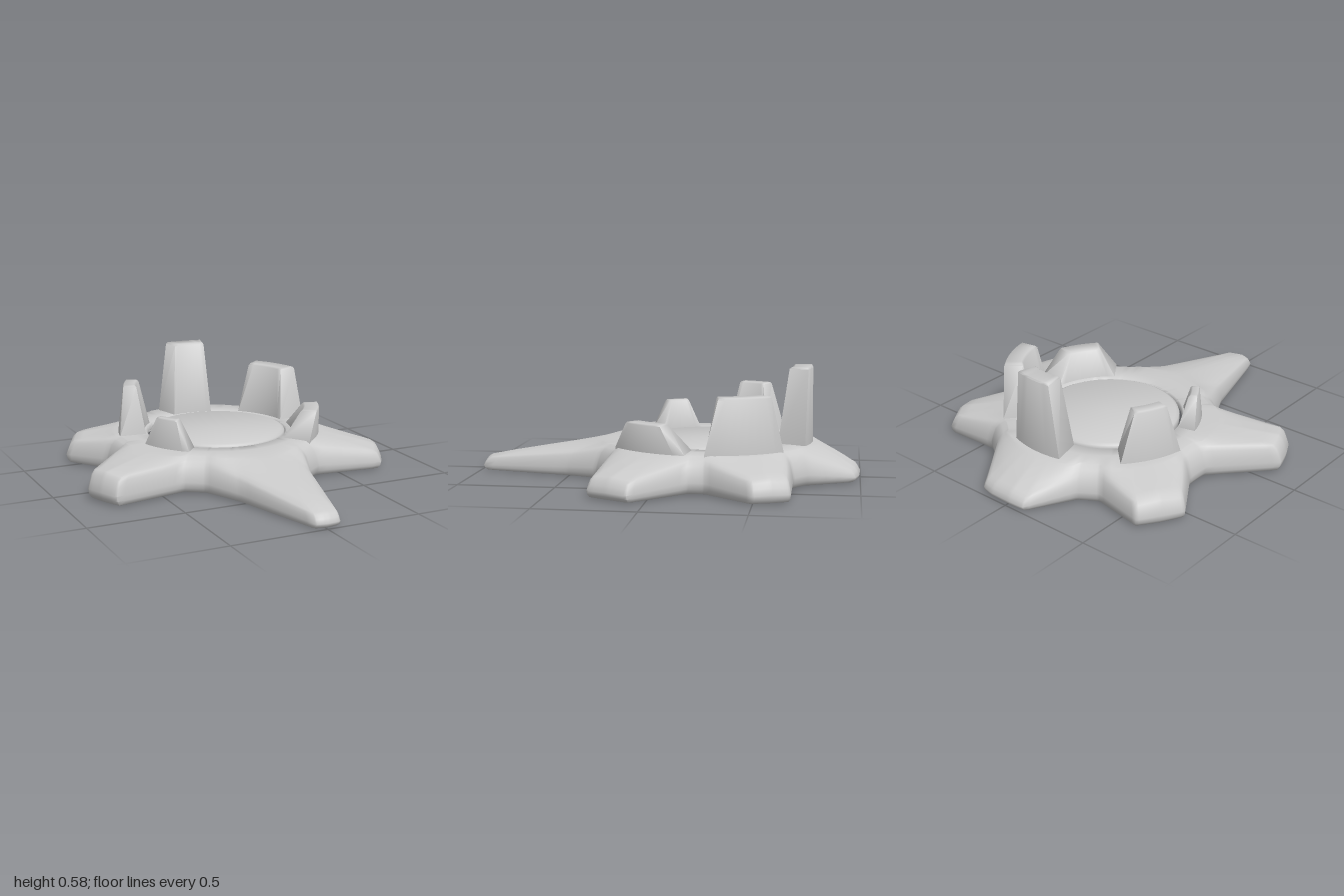
import * as THREE from 'three';
import { toCreasedNormals } from 'three/addons/utils/BufferGeometryUtils.js';

const CZ = -0.22; // z of the disc centre
const RIM = 0.19; // height of the base around the disc
const RING = 0.372; // radius of the opening

const grey = new THREE.MeshStandardMaterial({ color: 0xcccccc });
const greyThin = new THREE.MeshStandardMaterial({ color: 0xcccccc, side: THREE.DoubleSide });

// Skins a stack of equal closed loops, lowest first; optional end caps
function loft(loops, crease, caps) {
  const n = loops[0].length;
  const pos = loops.flat().flatMap((p) => [p.x, p.y, p.z]);
  const index = [];
  for (let k = 0; k < loops.length - 1; k++) {
    for (let i = 0; i < n; i++) {
      const a = k * n + i;
      const b = k * n + ((i + 1) % n);
      index.push(b, a, a + n, b, a + n, b + n);
    }
  }
  if (caps) {
    // each loop runs out along one arc and back along the other, so cap in strips
    const top = (loops.length - 1) * n;
    for (let i = 0; i < n / 2 - 1; i++) {
      const [a, b, c, d] = [i, i + 1, n - 2 - i, n - 1 - i];
      index.push(top + a, top + c, top + b, top + a, top + d, top + c);
      index.push(a, b, c, a, c, d);
    }
  }
  const geo = new THREE.BufferGeometry();
  geo.setAttribute('position', new THREE.Float32BufferAttribute(pos, 3));
  geo.setIndex(index);
  return toCreasedNormals(geo, crease);
}

// Six-armed hollow base: outline corners as x, shoulder height, z
function makeBase() {
  const outline = [
    [-0.055, 0.075, 0.98], [0, 0.08, 1], [0.075, 0.075, 0.985],
    [0.195, 0.13, 0.52], [0.27, 0.165, 0.34], [0.37, 0.165, 0.27],
    [0.735, 0.105, 0.29], [0.8, 0.115, 0.185], [0.845, 0.105, 0.08],
    [0.62, 0.165, -0.17], [0.62, 0.165, -0.26],
    [0.795, 0.115, -0.5], [0.77, 0.125, -0.59], [0.72, 0.115, -0.675],
    [0.42, 0.165, -0.675], [0.32, 0.165, -0.75],
    [0.17, 0.08, -0.975], [0.1, 0.085, -0.995], [-0.02, 0.09, -1], [-0.11, 0.08, -0.99],
    [-0.25, 0.16, -0.77], [-0.35, 0.165, -0.71],
    [-0.615, 0.13, -0.755], [-0.69, 0.145, -0.66], [-0.745, 0.13, -0.55],
    [-0.6, 0.17, -0.32], [-0.6, 0.17, -0.18],
    [-0.85, 0.15, 0.1], [-0.82, 0.16, 0.2], [-0.77, 0.15, 0.29],
    [-0.4, 0.165, 0.235], [-0.3, 0.165, 0.3], [-0.2, 0.13, 0.5],
  ].map((p) => new THREE.Vector3(...p)).reverse();
  const curve = new THREE.CatmullRomCurve3(outline, true, 'catmullrom', 0.06);
  const edge = curve.getPoints(outline.length * 5);
  edge.pop();

  // Point at radius r in the direction of edge point p
  const radius = (p) => Math.hypot(p.x, p.z - CZ);
  const polar = (p, r, y) => {
    const s = r / radius(p);
    return new THREE.Vector3(p.x * s, y, CZ + (p.z - CZ) * s);
  };

  // Outer wall: inset and share of the shoulder height, with the foot rolled under
  const wall = [[0.035, 0.05], [0.018, 0.08], [0.004, 0.22], [0, 0.4], [0.012, 0.65], [0.025, 0.87], [0.045, 1]];
  const loops = wall.map(([inset, s]) => edge.map((p) => polar(p, radius(p) - inset, p.y * s)));
  // Straight slope of the arms up to the level collar
  for (const t of [0.2, 0.45, 0.7, 0.9, 1]) {
    loops.push(edge.map((p) => polar(
      p,
      THREE.MathUtils.lerp(radius(p) - 0.045, Math.min(0.55, radius(p) - 0.08), t),
      THREE.MathUtils.lerp(p.y, RIM - 0.002, t ** 0.9),
    )));
  }
  // Collar with a short lip around the disc
  for (const [r, y] of [[0.45, RIM], [RING + 0.008, RIM], [RING, RIM - 0.01], [RING, 0.16]]) {
    loops.push(edge.map((p) => polar(p, r, y)));
  }
  return loft(loops, 1, false);
}

// Tapered curved blade standing on a ring sector (angles in degrees from the back)
function makeBlade({ base, top, rBase, rTop, h }) {
  const loop = ([a0, a1], [rIn, rOut], y) => {
    const steps = 8;
    const outer = [];
    const inner = [];
    for (let i = 0; i <= steps; i++) {
      const a = THREE.MathUtils.degToRad(a0 + ((a1 - a0) * i) / steps);
      const at = (r) => new THREE.Vector3(Math.sin(a) * r, y, CZ - Math.cos(a) * r);
      outer.push(at(rOut));
      inner.unshift(at(rIn));
    }
    return [...outer, ...inner];
  };
  const [t0, t1] = top;
  return loft([
    loop(base, rBase, 0.175),
    loop(base, rBase, RIM),
    loop(top, rTop, h - 0.008),
    loop([t0 + 0.7, t1 - 0.7], [rTop[0] + 0.01, rTop[1] - 0.005], h),
  ], 1.5, true);
}

export function createModel() {
  const group = new THREE.Group();
  const add = (name, geo, mat = grey) => {
    const mesh = new THREE.Mesh(geo, mat);
    mesh.name = name;
    group.add(mesh);
    return mesh;
  };

  add('starBase', makeBase(), greyThin);

  // Central disc with a softened top edge
  const profile = [[0, 0.12], [0.35, 0.12], [0.36, 0.13], [0.365, 0.178], [0.36, 0.192], [0.345, 0.2], [0, 0.2]]
    .map(([x, y]) => new THREE.Vector2(x, y));
  const disc = add('centralDisc', toCreasedNormals(new THREE.LatheGeometry(profile, 64), 0.9));
  disc.position.set(0.007, 0, CZ + 0.002);

  // Five blades of differing height around the disc
  const blades = {
    backBlade: { base: [-13, 20.5], top: [-7.5, 15.5], rBase: [0.385, 0.535], rTop: [0.43, 0.53], h: 0.58 },
    leftBackBlade: { base: [43, 87], top: [50, 80], rBase: [0.405, 0.55], rTop: [0.44, 0.535], h: 0.465 },
    leftFrontBlade: { base: [97, 143], top: [110, 133], rBase: [0.405, 0.555], rTop: [0.47, 0.555], h: 0.328 },
    rightBackBlade: { base: [-81, -46], top: [-74, -54], rBase: [0.39, 0.53], rTop: [0.43, 0.5], h: 0.445 },
    rightFrontBlade: { base: [-138, -104], top: [-129, -113], rBase: [0.385, 0.475], rTop: [0.415, 0.46], h: 0.345 },
  };
  for (const [name, spec] of Object.entries(blades)) add(name, makeBlade(spec));

  return group;
}
